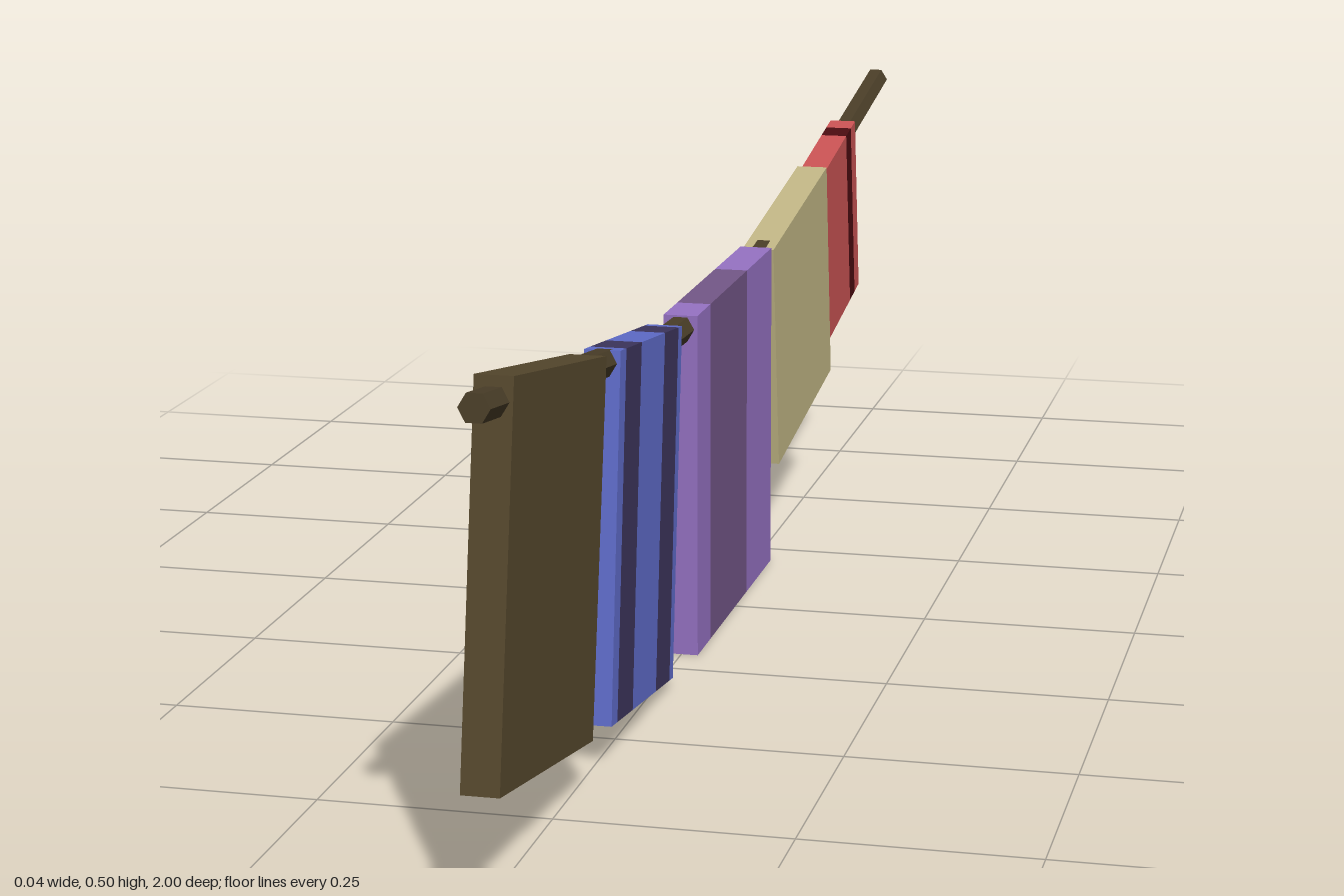
import * as THREE from 'three';

const mat = (name, color) => {
  const m = new THREE.MeshStandardMaterial({ color, flatShading: true });
  m.name = name;
  return m;
};

export function createModel() {
  const rope = mat('rope brown', 0x4a3e28);
  const brown = mat('cloth brown', 0x56482d);
  const blue = mat('blue', 0x606dcb);
  const navy = mat('dark blue', 0x3d365e);
  const purple = mat('purple', 0x9672c4);
  const plum = mat('plum', 0x745788);
  const tan = mat('tan', 0xc2b786);
  const red = mat('red', 0xca5354);
  const maroon = mat('maroon', 0x4a0c10);

  const model = new THREE.Group();
  model.name = 'clothLine';

  // Sagging six-sided rope, as [z, y] points from front to back
  const points = [[0.997, 0.487], [0.6, 0.432], [0.25, 0.386], [0, 0.377],
    [-0.22, 0.383], [-0.55, 0.42], [-0.75, 0.449], [-0.997, 0.488]];
  const ropeGroup = new THREE.Group();
  ropeGroup.name = 'rope';
  for (let i = 0; i < points.length - 1; i++) {
    const [z0, y0] = points[i], [z1, y1] = points[i + 1];
    const length = Math.hypot(z1 - z0, y1 - y0);
    const geo = new THREE.CylinderGeometry(0.016, 0.016, length, 6, 1, false, Math.PI / 2);
    geo.rotateX(Math.atan2(z1 - z0, y1 - y0));
    const mesh = new THREE.Mesh(geo, rope);
    mesh.name = 'ropeSegment';
    mesh.position.set(0, (y0 + y1) / 2, (z0 + z1) / 2);
    ropeGroup.add(mesh);
  }
  model.add(ropeGroup);

  // Hanging cloth placed by its upper front corner; each band is [end fraction, material]
  const addCloth = (name, z, y, width, height, tilt, bands, thickness = 0.039) => {
    const cloth = new THREE.Group();
    cloth.name = name;
    cloth.position.set(0, y, z);
    cloth.rotation.x = tilt;
    let start = 0;
    for (const [end, material] of bands) {
      const mesh = new THREE.Mesh(
        new THREE.BoxGeometry(thickness, height, (end - start) * width), material);
      mesh.name = name + 'Band';
      mesh.position.set(0, -height / 2, -width * (start + end) / 2);
      cloth.add(mesh);
      start = end;
    }
    model.add(cloth);
  };

  addCloth('brownCloth', 0.932, 0.503, 0.34, 0.396, -0.17, [[1, brown]]);
  addCloth('blueCloth', 0.54, 0.438, 0.272, 0.396, -0.122,
    [[0.09, blue], [0.33, navy], [0.71, blue], [0.94, navy], [1, blue]]);
  addCloth('purpleCloth', 0.197, 0.4, 0.396, 0.4, 0,
    [[0.165, purple], [0.65, plum], [1, purple]]);
  addCloth('tanCloth', -0.21, 0.395, 0.335, 0.285, 0.135, [[1, tan]]);
  addCloth('redCloth', -0.52, 0.43, 0.234, 0.238, 0.16,
    [[0.73, red], [0.87, maroon], [1, red]], 0.034);

  return model;
}
